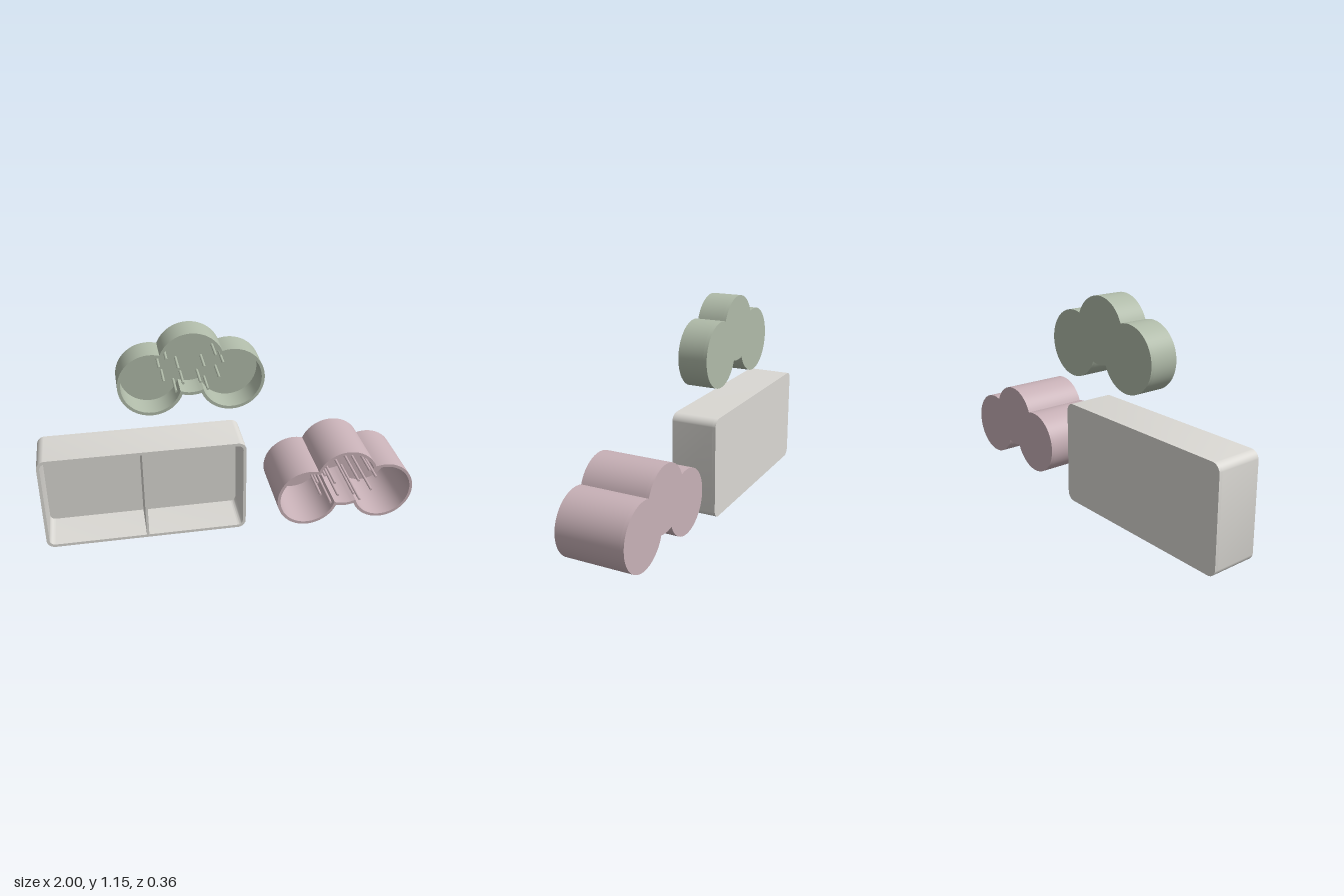
import * as THREE from 'three';
import { toCreasedNormals } from 'three/addons/utils/BufferGeometryUtils.js';

const WALL = 0.016, FLOOR = 0.018, BACK = -0.18;

// Points of an arc, leaving out the last one so that arcs chain cleanly
function arc(x, y, r, from, to, n) {
  return Array.from({ length: n }, (_, i) => {
    const a = from + (to - from) * i / n;
    return new THREE.Vector2(x + r * Math.cos(a), y + r * Math.sin(a));
  });
}

// Union of three equal circles, the middle one raised
function cloudOutline(r) {
  const dx = 0.208, dy = 0.05, PI = Math.PI;
  const tilt = Math.atan2(2 * dy, dx);
  const half = Math.acos(Math.hypot(dx, 2 * dy) / 2 / r);
  return [
    ...arc(-dx, -dy, r, tilt + half, tilt - half + 2 * PI, 48),
    ...arc(0, dy, r, PI + tilt + half, 2 * PI - tilt - half, 12),
    ...arc(dx, -dy, r, half - PI - tilt, PI - tilt - half, 48),
    ...arc(0, dy, r, half - tilt, PI + tilt - half, 32),
  ];
}

function roundedRect(w, h, r) {
  const q = Math.PI / 2, x = w / 2 - r, y = h / 2 - r;
  return [[x, y], [-x, y], [-x, -y], [x, -y]].flatMap(([cx, cy], i) =>
    [...arc(cx, cy, r, i * q, (i + 1) * q, 10),
      new THREE.Vector2(cx + r * Math.cos((i + 1) * q), cy + r * Math.sin((i + 1) * q))]);
}

function add(group, name, geometry, material, x = 0, y = 0, z = 0) {
  const mesh = new THREE.Mesh(geometry, material);
  mesh.name = name;
  mesh.position.set(x, y, z);
  group.add(mesh);
  return mesh;
}

function extrude(outer, hole, depth) {
  const shape = new THREE.Shape(outer);
  if (hole) shape.holes.push(new THREE.Path(hole));
  return toCreasedNormals(new THREE.ExtrudeGeometry(shape, { depth, bevelEnabled: false }), 0.5);
}

// Open-fronted tray: a floor plate at the back and a wall around it
function tray(name, outer, inner, depth, material, x, y) {
  const group = new THREE.Group();
  group.name = name;
  group.position.set(x, y, BACK);
  add(group, 'floor', extrude(outer, null, FLOOR), material);
  add(group, 'wall', extrude(outer, inner, depth - FLOOR), material, 0, 0, FLOOR);
  return group;
}

// Thin posts on the left half of the cloud, mirrored to the right
const POSTS = [[0.125, 0.09], [0.163, 0.046], [0.066, 0.033],
  [0.142, -0.034], [0.044, -0.05], [0.082, -0.093]];

function cloudTray(name, depth, color, x, y) {
  const material = new THREE.MeshStandardMaterial({ color });
  const group = tray(name, cloudOutline(0.171), cloudOutline(0.171 - WALL), depth, material, x, y);
  const length = depth - FLOOR;
  const post = new THREE.CylinderGeometry(0.007, 0.007, length, 10).rotateX(Math.PI / 2);
  for (const [px, py] of POSTS)
    for (const side of [-1, 1])
      add(group, 'post', post, material, side * px, py, FLOOR + length / 2);
  return group;
}

export function createModel() {
  const model = new THREE.Group();
  model.name = 'trays';

  // Rectangular tray with a divider
  const grey = new THREE.MeshStandardMaterial({ color: 0xdad8d3 });
  const w = 1.09, h = 0.55, depth = 0.25;
  const box = tray('rectangularTray', roundedRect(w, h, 0.045),
    roundedRect(w - 2 * WALL, h - 2 * WALL, 0.03), depth, grey, -0.455, h / 2);
  add(box, 'divider', new THREE.BoxGeometry(0.013, h - 2 * WALL, depth - FLOOR), grey,
    0, 0, (depth + FLOOR) / 2);
  model.add(box);

  // Cloud-shaped trays, one deep and one shallow
  model.add(cloudTray('deepCloudTray', 0.36, 0xc8b1b7, 0.62, 0.28));
  model.add(cloudTray('shallowCloudTray', 0.155, 0xb0bba9, -0.18, 0.932));
  return model;
}
